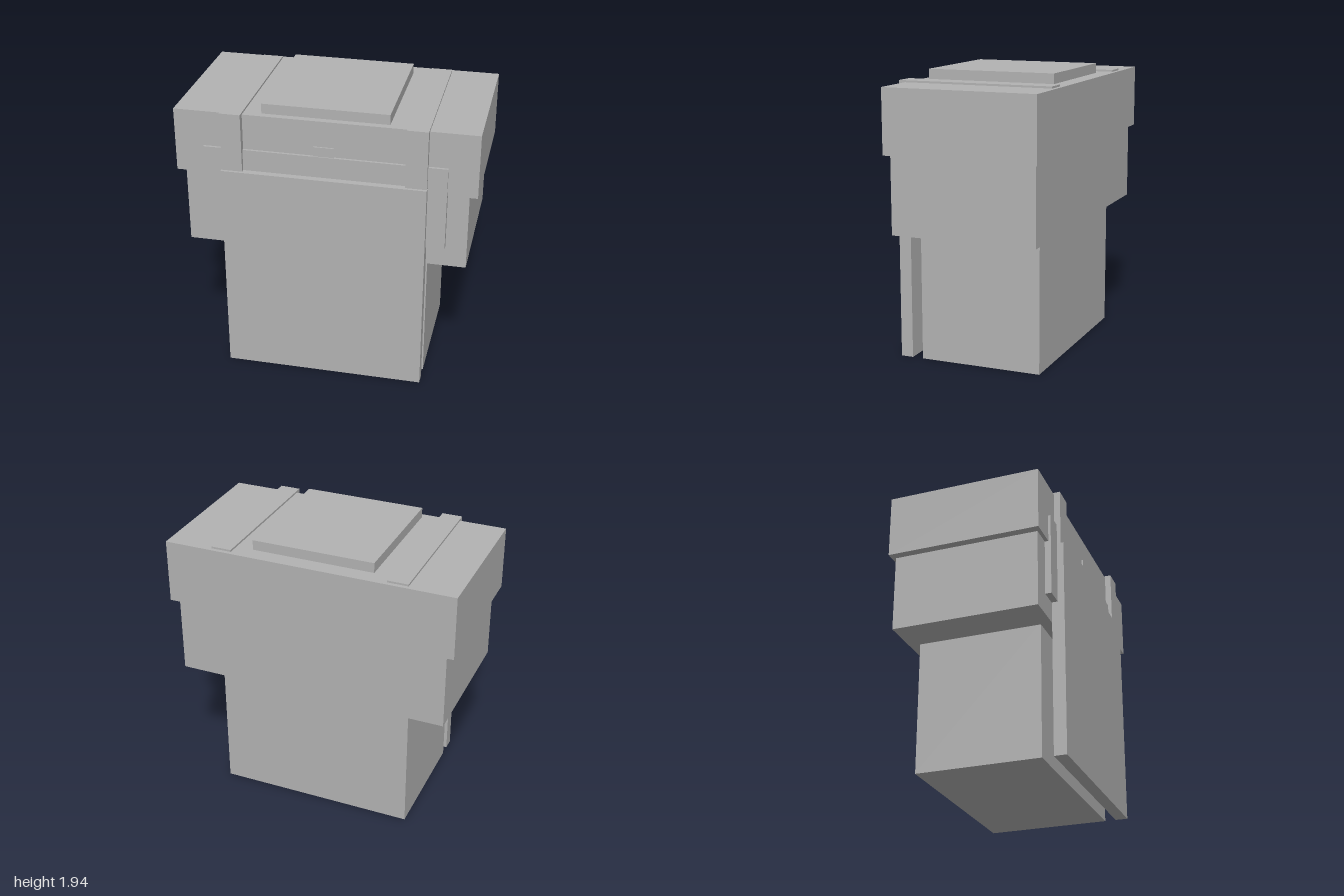
import * as THREE from 'three';

export function createModel() {
  const group = new THREE.Group();
  group.name = 'backpack';
  const grey = new THREE.MeshStandardMaterial({ color: 0xb2b2b2 });
  grey.name = 'plain grey';

  // Box given by its limits on each axis
  function box(name, [x0, x1], [y0, y1], [z0, z1]) {
    const mesh = new THREE.Mesh(new THREE.BoxGeometry(x1 - x0, y1 - y0, z1 - z0), grey);
    mesh.position.set((x0 + x1) / 2, (y0 + y1) / 2, (z0 + z1) / 2);
    mesh.name = name;
    group.add(mesh);
  }

  // Stacked body, widening upwards
  box('lowerBody', [-0.68, 0.68], [0, 0.92], [-0.453, 0.396]);
  box('middleBody', [-0.945, 0.945], [0.91, 1.45], [-0.53, 0.47]);
  box('upperBody', [-1, 1], [1.44, 1.875], [-0.557, 0.495]);
  box('topPlate', [-0.42, 0.42], [1.87, 1.943], [-0.445, 0.45]);

  // Layers hanging on the front
  box('frontPanel', [-0.68, 0.68], [0, 1.488], [0.472, 0.557]);
  box('backingPlate', [-0.805, 0.805], [1.055, 1.633], [0.465, 0.512]);
  box('centreStrip', [-0.068, 0.068], [0.04, 1.698], [0.455, 0.505]);

  // Straps running over the top and down the front
  for (const [side, x] of [['left', [0.538, 0.678]], ['right', [-0.678, -0.538]]]) {
    box(side + 'StrapTop', x, [1.87, 1.888], [-0.53, 0.538]);
    box(side + 'StrapFront', x, [1.48, 1.87], [0.49, 0.538]);
  }
  return group;
}
